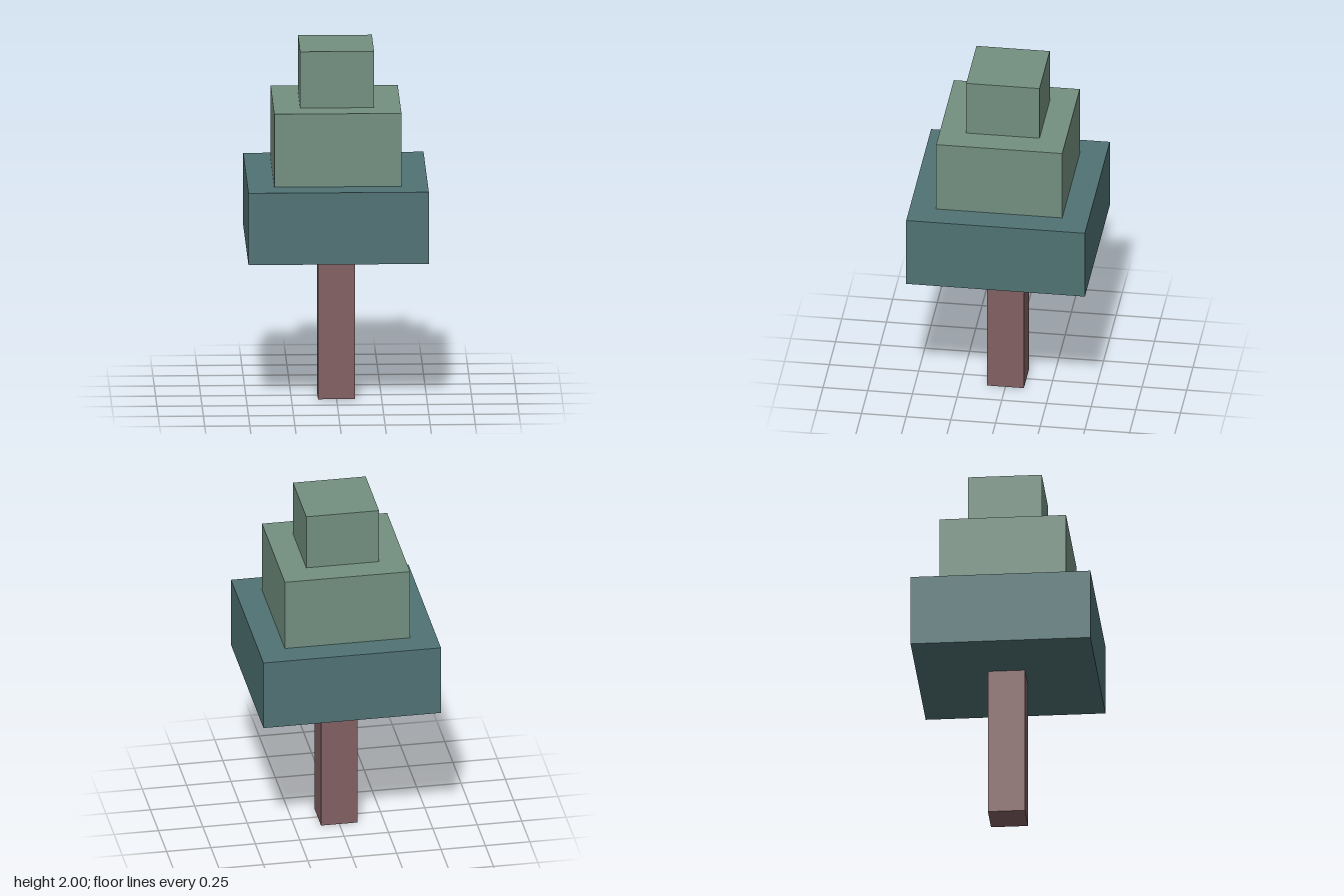
import * as THREE from 'three';

export function createModel() {
  const tree = new THREE.Group();
  tree.name = 'tree';

  const material = (name, color) => {
    const m = new THREE.MeshStandardMaterial({ color });
    m.name = name;
    return m;
  };
  const bark = material('bark brown', 0x826162);
  const teal = material('dark teal foliage', 0x507274);
  const green = material('light green foliage', 0x738f80);

  // Square blocks stacked from the ground up: name, width, bottom, top, material
  const blocks = [
    ['trunk', 0.206, 0, 0.857, bark],
    ['lowerFoliage', 1.0, 0.857, 1.265, teal],
    ['middleFoliage', 0.705, 1.265, 1.68, green],
    ['topFoliage', 0.41, 1.68, 2.0, green],
  ];
  for (const [name, width, bottom, top, mat] of blocks) {
    const mesh = new THREE.Mesh(new THREE.BoxGeometry(width, top - bottom, width), mat);
    mesh.name = name;
    mesh.position.y = (bottom + top) / 2;
    tree.add(mesh);
  }
  return tree;
}
